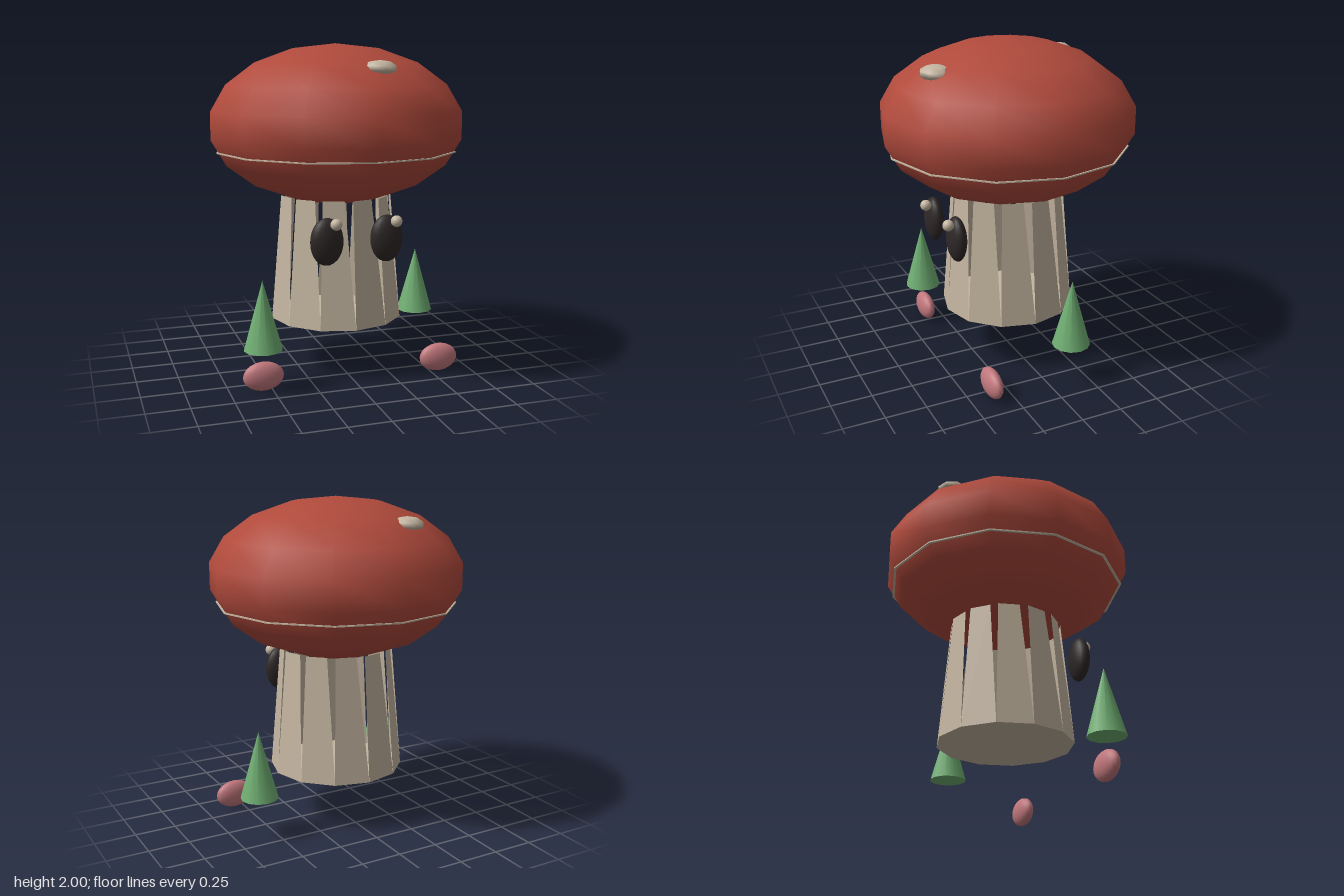
import * as THREE from 'three';

const mat = (color, extra = {}) => new THREE.MeshStandardMaterial({ color, ...extra });
const red = mat(0xb04a3c);
const cream = mat(0xc4b5a0);
const bark = mat(0xc4b5a0, { flatShading: true, side: THREE.DoubleSide });
const black = mat(0x2e2727);
const green = mat(0x6fae72);
const pink = mat(0xc0777c);

export function createModel() {
  const model = new THREE.Group();

  const add = (name, geometry, material, x, y, z) => {
    const mesh = new THREE.Mesh(geometry, material);
    mesh.name = name;
    mesh.position.set(x, y, z);
    model.add(mesh);
    return mesh;
  };
  const ellipsoid = (name, material, [x, y, z], [rx, ry, rz], w = 20, h = 14) =>
    add(name, new THREE.SphereGeometry(1, w, h).scale(rx, ry, rz), material, x, y, z);

  // Cap with a thin gill disc just breaking its surface
  ellipsoid('cap', red, [0, 1.52, 0], [0.78, 0.48, 0.78], 12, 9);
  add('gillDisc', new THREE.CylinderGeometry(0.735, 0.735, 0.008, 12), cream, 0, 1.36, 0);

  // Spots sunk into the cap
  ellipsoid('frontSpot', cream, [0.105, 1.86, 0.485], [0.105, 0.045, 0.1], 8, 5);
  ellipsoid('backSpot', cream, [-0.21, 1.86, -0.45], [0.1, 0.045, 0.095], 8, 5);
  ellipsoid('sideSpot', cream, [-0.38, 1.855, 0.17], [0.1, 0.045, 0.1], 10, 5);

  // Stem: slats that narrow upwards, leaving wedge-shaped gaps
  const sides = 12, y0 = 0.325, y1 = 1.09;
  const ring = (k, r, y) => {
    const a = (k / sides) * Math.PI * 2;
    return new THREE.Vector3(Math.sin(a) * r, y, Math.cos(a) * r);
  };
  const points = [];
  for (let k = 0; k < sides; k++) {
    const a = ring(k, 0.41, y0), b = ring(k + 1, 0.41, y0);
    const d = ring(k, 0.345, y1);
    const c = d.clone().lerp(ring(k + 1, 0.345, y1), 0.72);
    points.push(a, b, c, a, c, d);
  }
  const slats = new THREE.BufferGeometry().setFromPoints(points);
  slats.computeVertexNormals();
  add('stemSlats', slats, bark, 0, 0, 0);
  const base = new THREE.CircleGeometry(0.41, sides).rotateX(Math.PI / 2);
  add('stemBase', base, bark, 0, y0, 0);

  // Eyes with highlights, and feet
  for (const [side, s] of [['left', 1], ['right', -1]]) {
    ellipsoid(side + 'Eye', black, [s * 0.183, 0.875, 0.415], [0.1, 0.14, 0.055]);
    ellipsoid(side + 'EyeHighlight', cream, [s * 0.183 + 0.036, 0.985, 0.48], [0.034, 0.034, 0.034]);
    ellipsoid(side + 'Foot', pink, [s * 0.553, 0.09, 0.36], [0.122, 0.087, 0.05]);
  }

  // Small cone trees
  for (const [name, x, z] of [['leftTree', 0.6, -0.14], ['rightTree', -0.555, 0.37]]) {
    add(name, new THREE.ConeGeometry(0.114, 0.41, 12), green, x, 0.46, z);
  }

  return model;
}
